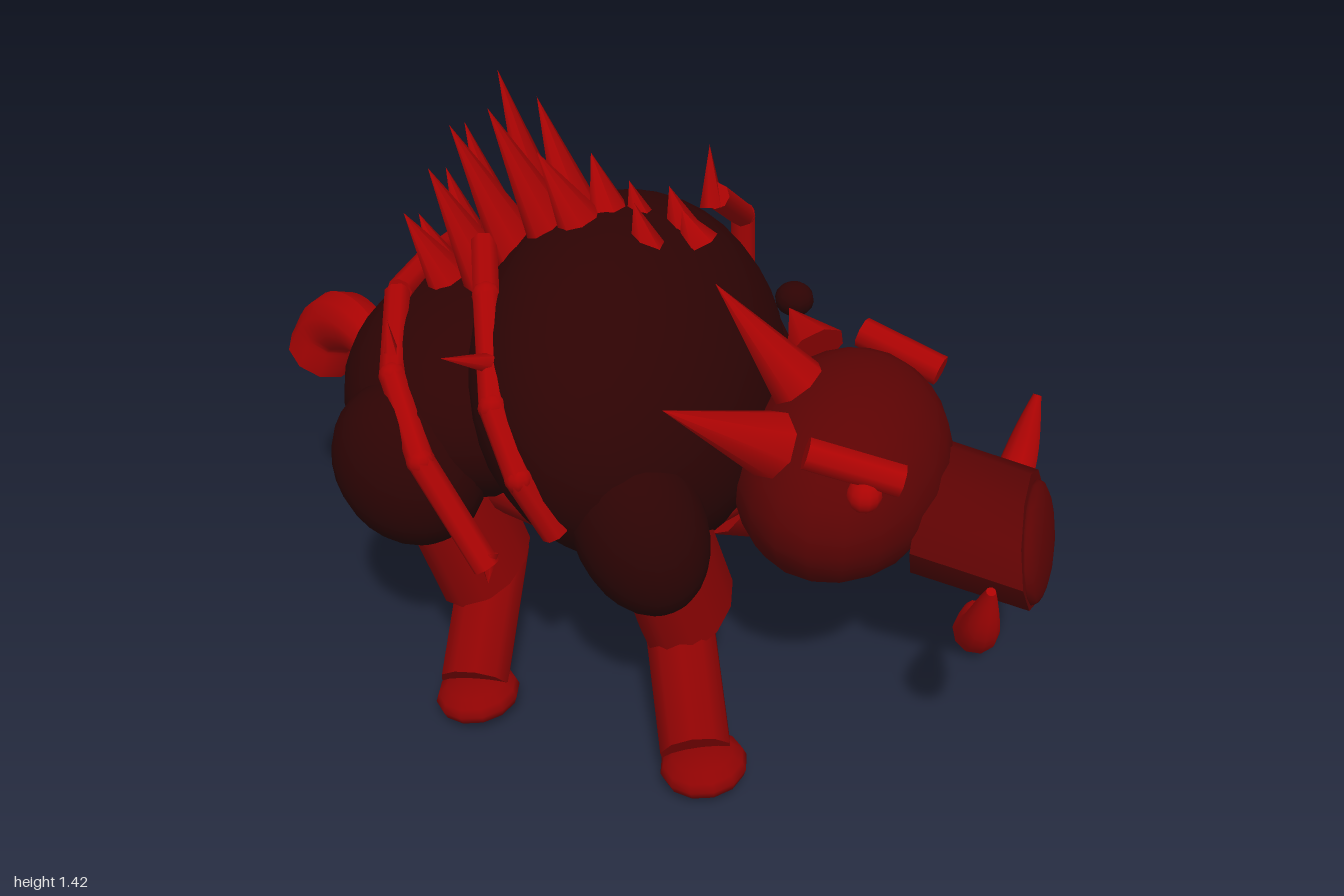
import * as THREE from 'three';

const V = (p) => new THREE.Vector3(...p);
const material = (name, color) => {
  const m = new THREE.MeshStandardMaterial({ color });
  m.name = name;
  return m;
};

export function createModel() {
  const model = new THREE.Group();
  model.name = 'spikedBoar';
  const hide = material('dark hide', 0x2d0303);
  const face = material('face red', 0x5c0303);
  const limb = material('limb red', 0x8e0303);
  const horn = material('spike red', 0xaa0303);

  function add(name, geometry, mat) {
    const mesh = new THREE.Mesh(geometry, mat);
    mesh.name = name;
    model.add(mesh);
    return mesh;
  }
  function blob(name, mat, center, radii, seg = 24, tilt = 0) {
    const mesh = add(name, new THREE.SphereGeometry(1, seg, Math.max(8, seg * 0.66 | 0)), mat);
    mesh.position.set(...center);
    mesh.scale.set(...radii);
    mesh.rotation.z = tilt;
    return mesh;
  }
  // Tapered round bar from a to b
  function bar(name, mat, a, b, ra, rb, sides = 10) {
    const from = V(a), to = V(b), dir = to.clone().sub(from);
    const mesh = add(name, new THREE.CylinderGeometry(rb, ra, dir.length(), sides), mat);
    mesh.position.copy(from).add(to).multiplyScalar(0.5);
    mesh.quaternion.setFromUnitVectors(new THREE.Vector3(0, 1, 0), dir.normalize());
    return mesh;
  }
  const spike = (name, a, b, r, sides = 6) => bar(name, horn, a, b, r, 0, sides);

  // Tube whose radius follows a rule along its length, with a closed end
  function taperedTube(name, mat, points, radius, steps = 16, sides = 10) {
    const curve = new THREE.CatmullRomCurve3(points.map(V));
    const g = new THREE.TubeGeometry(curve, steps, 1, sides, false);
    const pos = g.attributes.position, c = new THREE.Vector3(), p = new THREE.Vector3();
    for (let i = 0; i < pos.count; i++) {
      const t = Math.floor(i / (sides + 1)) / steps;
      curve.getPointAt(t, c);
      p.fromBufferAttribute(pos, i).sub(c).multiplyScalar(radius(t)).add(c);
      pos.setXYZ(i, p.x, p.y, p.z);
    }
    g.computeVertexNormals();
    add(name, g, mat);
    const cap = add(name + 'End', new THREE.CircleGeometry(radius(1), sides), mat);
    cap.position.copy(curve.getPointAt(1));
    cap.quaternion.setFromUnitVectors(new THREE.Vector3(0, 0, 1), curve.getTangentAt(1));
  }

  // Torso, with the chest leaning back toward the mane
  blob('chest', hide, [-0.02, 0.745, 0], [0.335, 0.42, 0.55], 32, Math.PI / 6);
  blob('rump', hide, [-0.38, 0.69, 0], [0.35, 0.265, 0.44], 28);
  blob('belly', limb, [-0.08, 0.52, 0], [0.42, 0.155, 0.34]);

  // Head and sheared snout
  blob('head', face, [0.5, 0.585, 0], [0.25, 0.235, 0.38], 20);
  const snout = new THREE.CylinderGeometry(1, 1, 1, 10, 1).rotateZ(-Math.PI / 2);
  const sp = snout.attributes.position;
  for (let i = 0; i < sp.count; i++) {
    const front = sp.getX(i) > 0, y = sp.getY(i), z = sp.getZ(i);
    sp.setXYZ(i, front ? 0.955 - 0.03 * y : 0.7, (front ? 0.462 : 0.508) + y * 0.134, z * 0.22);
  }
  snout.computeVertexNormals();
  add('snout', snout, face);
  blob('noseDisc', face, [0.96, 0.455, 0], [0.038, 0.122, 0.195], 16, 0.2);

  for (const s of [1, -1]) {
    const side = s > 0 ? 'left' : 'right';
    // Tusks, brows and eyes
    taperedTube(side + 'Tusk', horn,
      [[0.85, 0.34, s * 0.15], [0.86, 0.37, s * 0.26], [0.88, 0.45, s * 0.37], [0.9, 0.6, s * 0.44]],
      (t) => 0.008 + 0.04 * Math.sin(Math.PI * Math.min(1, 0.12 + 0.86 * t)));
    bar(side + 'Brow', horn, [0.47, 0.775, s * 0.305], [0.675, 0.72, s * 0.265], 0.038, 0.038, 8);
    blob(side + 'Eye', horn, [0.6, 0.69, s * 0.295], [0.04, 0.04, 0.045], 12);

    // Legs: shoulder or thigh, upper leg, lower leg, foot
    blob(side + 'Shoulder', hide, [0.13, 0.585, s * 0.415], [0.15, 0.215, 0.147], 24, 0.35);
    blob(side + 'Thigh', hide, [-0.45, 0.61, s * 0.36], [0.18, 0.205, 0.155], 24, 0.35);
    const uppers = [
      bar(side + 'FrontUpperLeg', limb, [0.19, 0.268, s * 0.24], [0.145, 0.5, s * 0.31], 0.155, 0.15, 12),
      bar(side + 'RearUpperLeg', limb, [-0.335, 0.268, s * 0.22], [-0.39, 0.5, s * 0.28], 0.155, 0.15, 12),
    ];
    uppers.forEach((m) => { m.scale.x = 0.72; });
    bar(side + 'FrontLowerLeg', limb, [0.145, 0.285, s * 0.19], [0.3, 0.08, s * 0.525], 0.085, 0.083);
    bar(side + 'RearLowerLeg', limb, [-0.325, 0.285, s * 0.17], [-0.275, 0.08, s * 0.45], 0.085, 0.083);
    blob(side + 'FrontFoot', limb, [0.32, 0.055, s * 0.53], [0.1, 0.05, 0.105], 12, 0.1);
    blob(side + 'RearFoot', limb, [-0.265, 0.055, s * 0.455], [0.1, 0.05, 0.105], 12, 0.1);
  }

  // Ears, crown horns and the small knob beside the head
  spike('leftEar', [0.38, 0.75, 0.25], [0.19, 0.91, 0.45], 0.08, 8);
  spike('rightEar', [0.37, 0.74, -0.24], [0.28, 0.8, -0.33], 0.08, 8);
  spike('crownHorn', [0.39, 0.8, 0.05], [0.2, 1.04, 0.085], 0.07, 8);
  spike('smallCrownHorn', [0.37, 0.77, -0.05], [0.29, 0.86, -0.08], 0.04);
  blob('sideKnob', hide, [0.28, 0.8, -0.385], [0.05, 0.045, 0.045], 12);

  // Tail widening toward its end
  taperedTube('tail', horn,
    [[-0.66, 0.72, 0.05], [-0.78, 0.73, -0.04], [-0.88, 0.68, -0.11], [-0.93, 0.585, -0.13]],
    (t) => 0.055 + 0.04 * t);

  // Back mane: broad raked blades leaning to alternate sides [baseX, baseY, tipX, tipY]
  const mane = [
    [-0.48, 0.86, -0.6, 1.04], [-0.45, 0.89, -0.56, 1.11], [-0.41, 0.92, -0.52, 1.17],
    [-0.37, 0.95, -0.49, 1.23], [-0.34, 0.99, -0.465, 1.29], [-0.29, 1.03, -0.43, 1.34],
    [-0.24, 1.06, -0.375, 1.425], [-0.2, 1.08, -0.335, 1.39], [-0.16, 1.09, -0.28, 1.37],
    [-0.12, 1.09, -0.22, 1.3], [-0.08, 1.09, -0.15, 1.25],
  ];
  mane.forEach(([bx, by, tx, ty], i) => {
    const s = i % 2 ? 1 : -1;
    spike('maneSpike', [bx, by, s * 0.035], [tx, ty, s * 0.08], 0.085, 8).scale.x = 0.65;
  });
  // Short bristles on the withers
  for (const [x, z, h] of [[-0.03, -0.06, 0.1], [0.02, 0.06, 0.1], [0.06, -0.08, 0.09], [0.1, -0.05, 0.05]]) {
    spike('bristle', [x + 0.02, 1.07, z], [x - 0.02, 1.1 + h, z], 0.05);
  }

  // Segmented bands draped over the flanks
  const bands = [
    [[0.12, 1.13, -0.2], [0.11, 0.96, -0.5], [0.11, 0.67, -0.54]],
    [[-0.35, 1.07, 0.1], [-0.28, 1.02, 0.26], [-0.18, 0.87, 0.48], [-0.1, 0.74, 0.54], [-0.03, 0.6, 0.515]],
    [[-0.57, 0.92, 0.12], [-0.48, 0.83, 0.35], [-0.36, 0.7, 0.48], [-0.2, 0.47, 0.51]],
    [[-0.565, 0.925, 0.12], [-0.575, 0.925, -0.08], [-0.64, 0.84, -0.41], [-0.63, 0.6, -0.46]],
  ];
  for (const b of bands) {
    for (let i = 1; i < b.length; i++) {
      bar('flankBand', horn, b[i - 1], b[i], 0.032, 0.032, 8);
      if (i < b.length - 1) blob('bandJoint', horn, b[i], [0.033, 0.033, 0.033], 10);
    }
  }
  // Studs on the bands
  spike('bandStud', [0.11, 1.1, -0.2], [0.09, 1.24, -0.24], 0.03);
  spike('bandStud', [0.11, 0.7, -0.52], [0.12, 0.7, -0.635], 0.022);
  spike('bandStud', [-0.21, 0.93, 0.4], [-0.27, 1.0, 0.535], 0.025);
  spike('bandStud', [-0.48, 0.82, 0.34], [-0.52, 0.93, 0.28], 0.03);
  spike('bandStud', [-0.63, 0.84, -0.38], [-0.62, 0.94, -0.42], 0.025);
  spike('bandStud', [-0.2, 0.5, 0.5], [-0.19, 0.44, 0.53], 0.025);

  return model;
}
